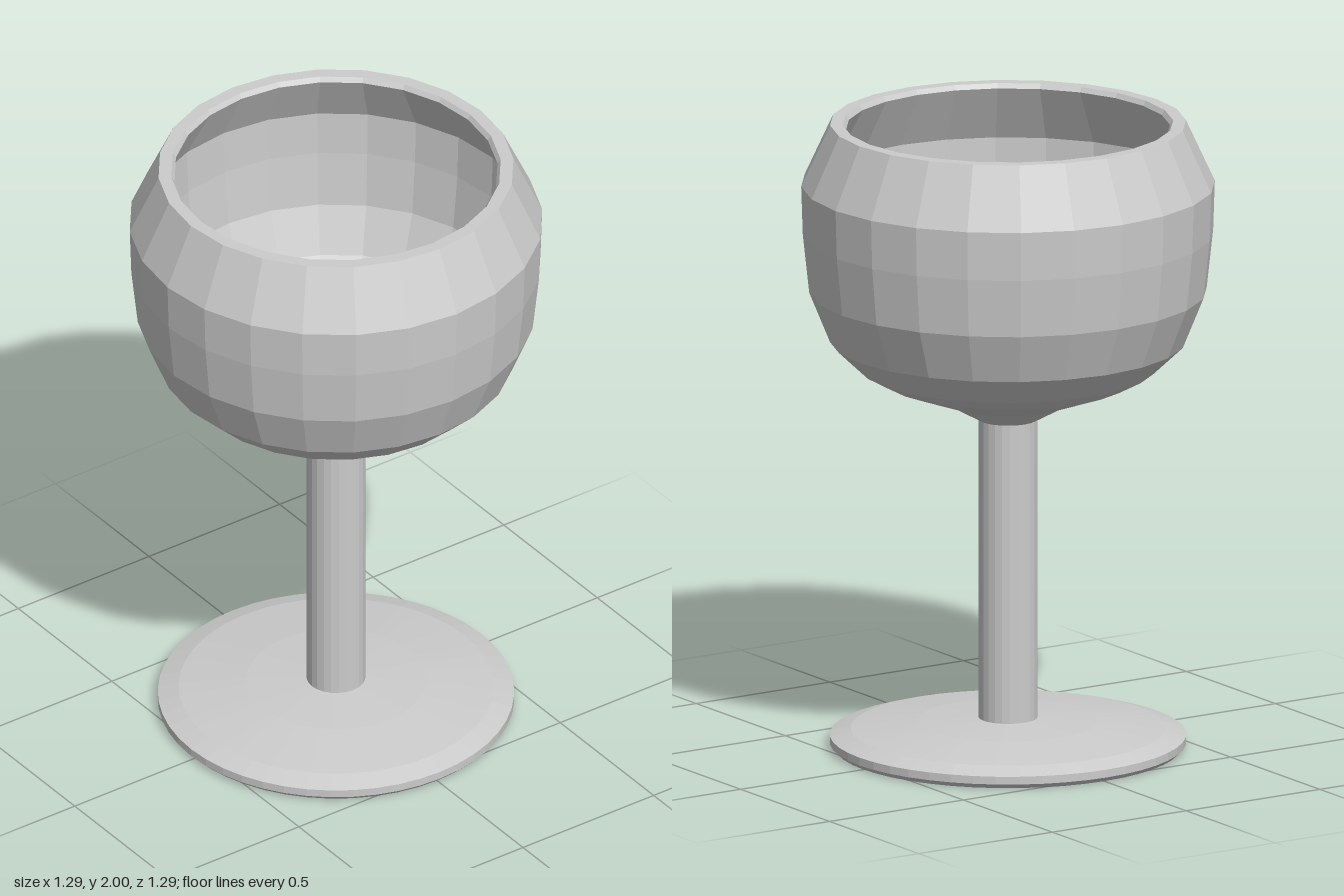
import * as THREE from 'three';

const material = new THREE.MeshStandardMaterial({ color: 0xcccccc, flatShading: true });

// Turned part from [radius, height] pairs, running up the outside
function turned(name, profile, sides) {
  const points = profile.map(([r, y]) => new THREE.Vector2(r, y));
  const mesh = new THREE.Mesh(new THREE.LatheGeometry(points, sides), material);
  mesh.name = name;
  return mesh;
}

export function createModel() {
  const goblet = new THREE.Group();
  goblet.name = 'goblet';

  // Shallow domed disc with a bevelled rim and flat underside
  goblet.add(turned('foot', [
    [0, 0], [0.54, 0], [0.555, 0.015], [0.555, 0.04], [0.49, 0.06],
    [0.28, 0.085], [0.09, 0.095], [0, 0.095],
  ], 48));

  // Straight stem
  goblet.add(turned('stem', [[0.092, 0.09], [0.092, 1.06]], 24));

  // Faceted bowl: outer wall up to the flat lip, then down the inner wall
  goblet.add(turned('bowl', [
    [0, 1.05], [0.09, 1.05], [0.19, 1.105], [0.385, 1.175], [0.46, 1.215],
    [0.555, 1.305], [0.62, 1.465], [0.64, 1.65], [0.645, 1.805], [0.555, 2],
    [0.515, 2], [0.505, 1.985], [0.6, 1.805], [0.595, 1.66], [0.575, 1.48],
    [0.51, 1.335], [0.365, 1.23], [0.1, 1.12], [0, 1.12],
  ], 24));

  return goblet;
}
